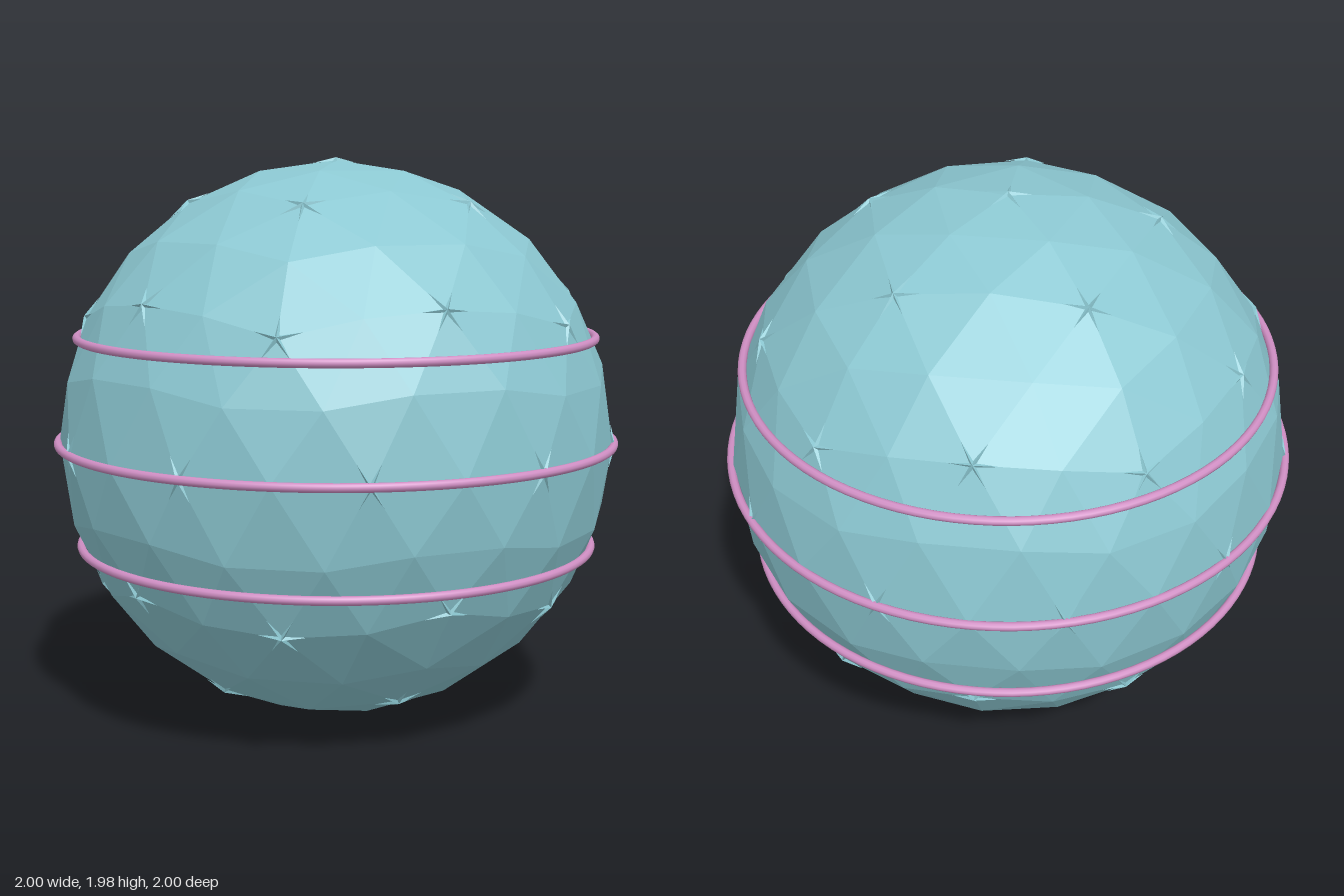
import * as THREE from 'three';

const CENTER = 1, RADIUS = 0.98;

// Unit icosahedron with a corner at each pole, as a list of triangles
function icosahedron() {
  const ring = (y, turn) => Array.from({ length: 5 }, (_, i) => {
    const a = (i + turn) * Math.PI * 2 / 5, r = Math.sqrt(1 - y * y);
    return new THREE.Vector3(r * Math.cos(a), y, r * Math.sin(a));
  });
  const h = 1 / Math.sqrt(5), up = ring(h, 0), low = ring(-h, 0.5);
  const top = new THREE.Vector3(0, 1, 0), bottom = new THREE.Vector3(0, -1, 0);
  const tris = [];
  for (let i = 0; i < 5; i++) {
    const j = (i + 1) % 5;
    tris.push([top, up[j], up[i]], [up[i], up[j], low[i]],
      [up[j], low[j], low[i]], [bottom, low[i], low[j]]);
  }
  return tris;
}

// Split every triangle in four and push the new corners out to the sphere
function subdivide(tris) {
  const mid = (a, b) => a.clone().add(b).normalize();
  return tris.flatMap(([a, b, c]) => {
    const ab = mid(a, b), bc = mid(b, c), ca = mid(c, a);
    return [[a, ab, ca], [ab, b, bc], [ca, bc, c], [ab, bc, ca]];
  });
}

// Unshared corners give crisp flat facets
function facets(tris) {
  const g = new THREE.BufferGeometry().setFromPoints(tris.flat());
  g.computeVertexNormals();
  return g;
}

// Raised star at a grid corner, with one arm along each grid edge
function starTriangles(n, neighbours) {
  const x = neighbours[0].clone().addScaledVector(n, -neighbours[0].dot(n)).normalize();
  const y = n.clone().cross(x);
  const angles = neighbours.map(p => {
    const a = Math.atan2(p.dot(y), p.dot(x));
    return a < -1e-6 ? a + Math.PI * 2 : a;
  }).sort((a, b) => a - b);
  const at = (angle, r, height) => n.clone().multiplyScalar(height)
    .addScaledVector(x, r * Math.cos(angle)).addScaledVector(y, r * Math.sin(angle));
  const apex = n.clone().multiplyScalar(0.99);
  const tris = [];
  angles.forEach((a, i) => {
    const next = i + 1 < angles.length ? angles[i + 1] : angles[0] + Math.PI * 2;
    const valley = at((a + next) / 2, 0.013, 0.977);
    tris.push([apex, at(a, 0.082, 0.97), valley], [apex, valley, at(next, 0.082, 0.97)]);
  });
  return tris;
}

export function createModel() {
  const model = new THREE.Group();
  model.name = 'bandedBall';
  const teal = new THREE.MeshStandardMaterial({ color: 0x8cc8d2 });
  teal.name = 'paleTeal';
  const pink = new THREE.MeshStandardMaterial({ color: 0xd08fc4 });
  pink.name = 'orchidPink';

  const add = (name, geometry, material, y) => {
    const mesh = new THREE.Mesh(geometry, material);
    mesh.name = name;
    mesh.position.y = y;
    model.add(mesh);
    return mesh;
  };

  // Faceted ball
  const coarse = subdivide(icosahedron());
  const body = facets(subdivide(coarse));
  body.scale(RADIUS, RADIUS, RADIUS);
  add('ball', body, teal, CENTER);

  // Stars on the corners of the coarser grid
  const corners = new Map();
  const key = p => p.toArray().map(v => Math.round(v * 1000)).join();
  for (const tri of coarse) {
    tri.forEach((p, i) => {
      const k = key(p);
      if (!corners.has(k)) corners.set(k, { point: p, around: new Map() });
      for (const q of [tri[(i + 1) % 3], tri[(i + 2) % 3]]) corners.get(k).around.set(key(q), q);
    });
  }
  const stars = [...corners.values()].flatMap(c => starTriangles(c.point, [...c.around.values()]));
  add('stars', facets(stars), teal, CENTER);

  // Three rings around the ball
  for (const [name, y, r] of [['lowerRing', -0.368, 0.912], ['middleRing', 0, 0.985], ['upperRing', 0.368, 0.912]]) {
    add(name, new THREE.TorusGeometry(r, 0.015, 10, 96).rotateX(Math.PI / 2), pink, CENTER + y);
  }
  return model;
}
